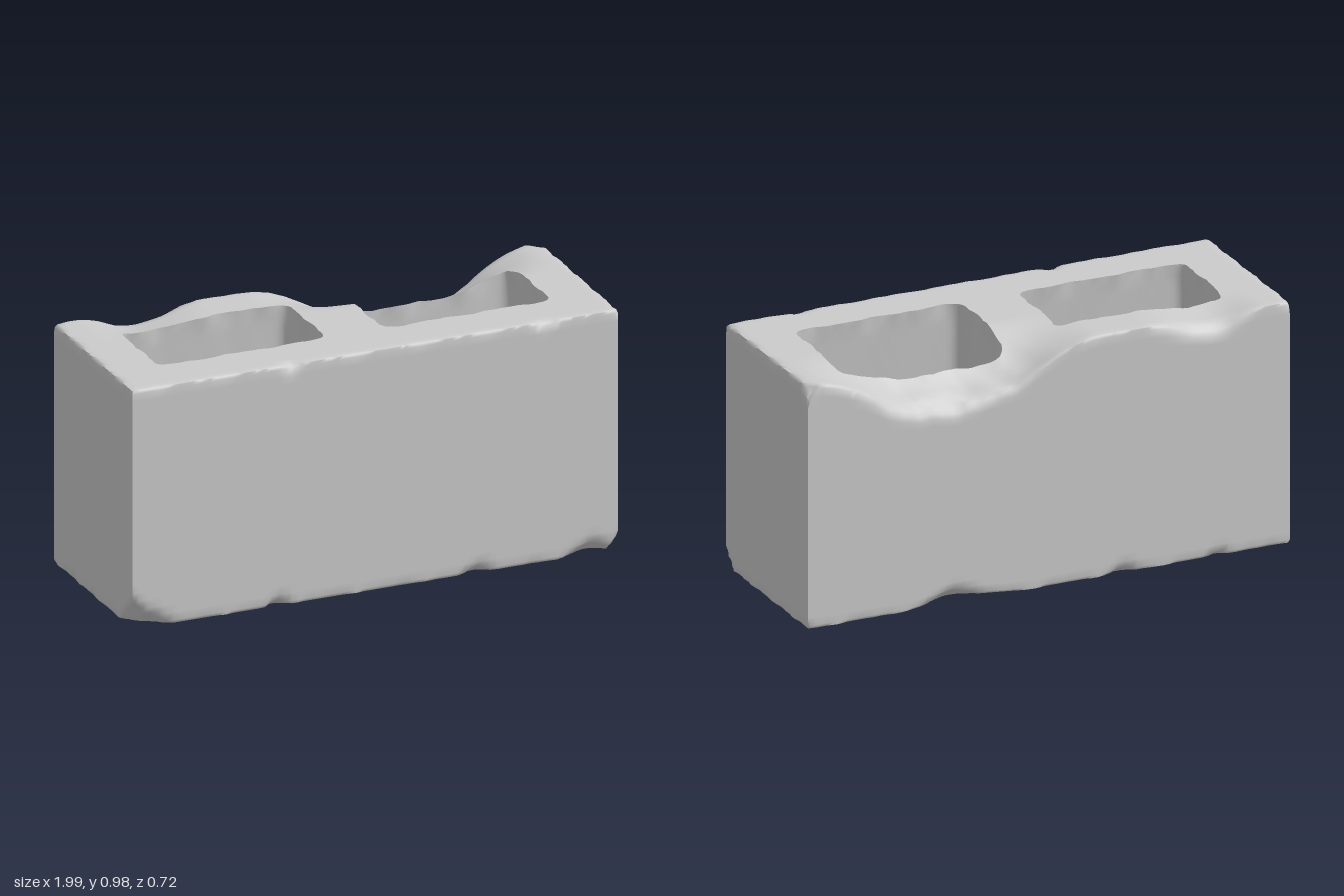
import * as THREE from 'three';
import { toCreasedNormals } from 'three/addons/utils/BufferGeometryUtils.js';

const HX = 0.995, HZ = 0.36, H = 0.985;
const holes = [
  { x: -0.46, z: -0.0175, hx: 0.345, hz: 0.1925 },
  { x: 0.46, z: -0.0175, hx: 0.345, hz: 0.1925 },
];

// Broken-off corners: outward direction and depth of the cut
const cornerCuts = [
  [-1, -1, 1, 0.085], [1, -1, 1, 0.04], [1, 1, -1, 0.035],
  [-1, 1, -1, 0.012], [1, -1, -1, 0.012], [1, 1, 1, 0.01],
];

// Small chips along the long edges: x, side of y, side of z, half width, depth
const edgeChips = [
  [-0.33, 1, 1, 0.06, 0.025], [0.7, 1, 1, 0.08, 0.015],
  [-0.4, -1, 1, 0.06, 0.03], [0.42, -1, 1, 0.08, 0.03], [0.88, -1, 1, 0.14, 0.05],
  [-0.93, -1, 1, 0.12, 0.06], [-0.65, 1, -1, 0.25, 0.04], [0.45, 1, -1, 0.5, 0.05],
  [0.4, -1, -1, 0.15, 0.04], [-0.3, -1, -1, 0.08, 0.025], [-0.7, -1, -1, 0.06, 0.02],
];

const { smoothstep: smooth, clamp, lerp } = THREE.MathUtils;
const bump = (x, c, left, right) => {
  const d = Math.abs(x - c) / (x < c ? left : right);
  return d < 1 ? (1 + Math.cos(Math.PI * d)) / 2 : 0;
};
// Smooth repeatable roughness in about -1..1
const rough = (x, y, z) =>
  0.5 * Math.sin(23 * x + 11 * z + 5 * y) + 0.3 * Math.sin(47 * x - 31 * z + 17 * y) +
  0.2 * Math.sin(83 * x + 71 * z - 41 * y);

// Heights of the worn top and bottom faces
function topHeight(x, z) {
  const back = 1 - smooth(z, -0.33, -0.06);
  const broken = smooth(x, -0.22, 0.25) * (1 - smooth(x, 0.5, 0.96));
  return H - 0.005 * (x + 1) - back * (0.16 * broken + 0.04 * bump(x, -0.7, 0.2, 0.3))
    + 0.012 * back * broken * rough(x, 0, z);
}
function bottomHeight(x, z) {
  const back = 1 - smooth(z, -0.36, -0.1);
  return 0.008 * (1 - x) + 0.02 * back * bump(x, 0.35, 0.3, 0.3)
    + 0.025 * bump(x, 0.08, 0.12, 0.12) * bump(z, -0.12, 0.15, 0.15);
}

// Grid lines through the given stops, with narrow strips beside each stop
function gridLines(stops, step) {
  const lines = [stops[0]];
  for (let i = 1; i < stops.length; i++) {
    const a = stops[i - 1] + 0.014, b = stops[i] - 0.014;
    const n = Math.max(1, Math.round((b - a) / step));
    for (let k = 0; k <= n; k++) lines.push(a + (b - a) * k / n);
    lines.push(stops[i]);
  }
  return lines;
}

// Move a value from one set of stops to another, evenly in between
function remap(v, from, to) {
  let i = 0;
  while (i < from.length - 2 && v > from[i + 1]) i++;
  return lerp(to[i], to[i + 1], (v - from[i]) / (from[i + 1] - from[i]));
}

// Round the corners of the cells, roughen their rims and widen them downwards
function shapeHole(p, t) {
  const r = 0.042;
  for (const h of holes) {
    const sx = Math.sign(p.x - h.x), sz = Math.sign(p.z - h.z);
    const dx = Math.abs(p.x - h.x) - h.hx, dz = Math.abs(p.z - h.z) - h.hz;
    const u = dx + r, v = dz + r;
    const near = 1 - smooth(Math.max(dx, dz), 0, 0.07);
    if (near === 0) continue;
    if (u > 0 && v > 0) {
      const a = Math.min(u / r, 1), b = Math.min(v / r, 1);
      p.x += sx * near * r * a * (Math.sqrt(1 - b * b / 2) - 1);
      p.z += sz * near * r * b * (Math.sqrt(1 - a * a / 2) - 1);
    }
    const rim = 0.15 + 0.85 * smooth(Math.abs(t - 0.5), 0.44, 0.5);
    p.x += 0.007 * near * rim * rough(p.z * 1.3, t, h.x);
    p.z += 0.009 * near * rim * rough(p.x, t, sz);
  }
  const inner = lerp(0.08, 0.115, t), outer = lerp(0.87, 0.805, t);
  const back = lerp(-0.235, -0.205 - 0.01 * clamp(p.x / 0.1, -1, 1), t);
  p.x = Math.sign(p.x) * remap(Math.abs(p.x), [0, 0.115, 0.805, HX], [0, inner, outer, HX]);
  p.z = remap(p.z, [-HZ, -0.21, 0.175, HZ], [-HZ, back, lerp(0.25, 0.175, t), HZ]);
}

// Turn a grid point into a point on the worn block
function wear(x, t, z) {
  const p = new THREE.Vector3(x, 0, z);
  shapeHole(p, t);
  const lo = bottomHeight(p.x, p.z), hi = topHeight(p.x, p.z);
  p.y = lo + (hi - lo) * t;

  // Chipped edges along the four long sides
  const sy = t > 0.5 ? 1 : -1, sz = Math.sign(p.z);
  const dy = sy > 0 ? hi - p.y : p.y - lo;
  let cut = 0.006 + 0.004 * rough(p.x, sy, sz);
  for (const [cx, cy, cz, w, d] of edgeChips)
    if (cy === sy && cz === sz) cut += d * bump(p.x, cx, w, w);
  const over = cut - dy - (HZ - Math.abs(p.z));
  if (over > 0) {
    p.y -= sy * over / 2;
    p.z -= sz * over / 2;
  }

  // Worn edges at the two ends
  const sx = Math.sign(p.x);
  const endOver = 0.006 + 0.005 * rough(p.z * 1.5, sy, sx) - dy - (HX - Math.abs(p.x));
  if (endOver > 0) {
    p.y -= sy * endOver / 2;
    p.x -= sx * endOver / 2;
  }

  // Flat breaks at the corners
  for (const [nx, ny, nz, d] of cornerCuts) {
    const n = new THREE.Vector3(nx, ny, nz).normalize();
    const corner = new THREE.Vector3(nx * HX, ny > 0 ? topHeight(nx * HX, nz * HZ) : 0, nz * HZ);
    const depth = corner.sub(p).dot(n);
    if (depth < d) p.addScaledVector(n, depth - d + 0.004 * rough(p.x, p.y, p.z));
  }
  return p;
}

function blockGeometry() {
  const xs = gridLines([-HX, -0.805, -0.115, 0.115, 0.805, HX], 0.024);
  const zs = gridLines([-HZ, -0.21, 0.175, HZ], 0.024);
  const ts = gridLines([0, 1], 0.035);
  const positions = [], index = [], known = new Map();
  const vertex = (i, k, j) => {
    const key = `${i},${k},${j}`;
    if (!known.has(key)) {
      known.set(key, known.size);
      positions.push(...wear(xs[i], ts[k], zs[j]).toArray());
    }
    return known.get(key);
  };
  const quad = (a, b, c, d) => index.push(a, b, c, a, c, d);
  const solid = (i, j) => {
    if (i < 0 || j < 0 || i >= xs.length - 1 || j >= zs.length - 1) return false;
    const x = (xs[i] + xs[i + 1]) / 2, z = (zs[j] + zs[j + 1]) / 2;
    return !holes.some(h => Math.abs(x - h.x) < h.hx && Math.abs(z - h.z) < h.hz);
  };
  const wall = (i0, j0, i1, j1) => {
    for (let k = 0; k < ts.length - 1; k++)
      quad(vertex(i0, k, j0), vertex(i1, k, j1), vertex(i1, k + 1, j1), vertex(i0, k + 1, j0));
  };
  const top = ts.length - 1;
  for (let i = 0; i < xs.length - 1; i++) for (let j = 0; j < zs.length - 1; j++) {
    if (!solid(i, j)) continue;
    quad(vertex(i, top, j), vertex(i, top, j + 1), vertex(i + 1, top, j + 1), vertex(i + 1, top, j));
    quad(vertex(i, 0, j), vertex(i + 1, 0, j), vertex(i + 1, 0, j + 1), vertex(i, 0, j + 1));
    if (!solid(i, j + 1)) wall(i, j + 1, i + 1, j + 1);
    if (!solid(i, j - 1)) wall(i + 1, j, i, j);
    if (!solid(i + 1, j)) wall(i + 1, j + 1, i + 1, j);
    if (!solid(i - 1, j)) wall(i, j, i, j + 1);
  }
  const geometry = new THREE.BufferGeometry();
  geometry.setAttribute('position', new THREE.Float32BufferAttribute(positions, 3));
  geometry.setIndex(index);
  return toCreasedNormals(geometry, 1.1);
}

export function createModel() {
  const group = new THREE.Group();
  group.name = 'brokenConcreteBlock';
  const block = new THREE.Mesh(blockGeometry(), new THREE.MeshStandardMaterial({ color: 0xcccccc }));
  block.name = 'hollowBlock';
  group.add(block);
  return group;
}
